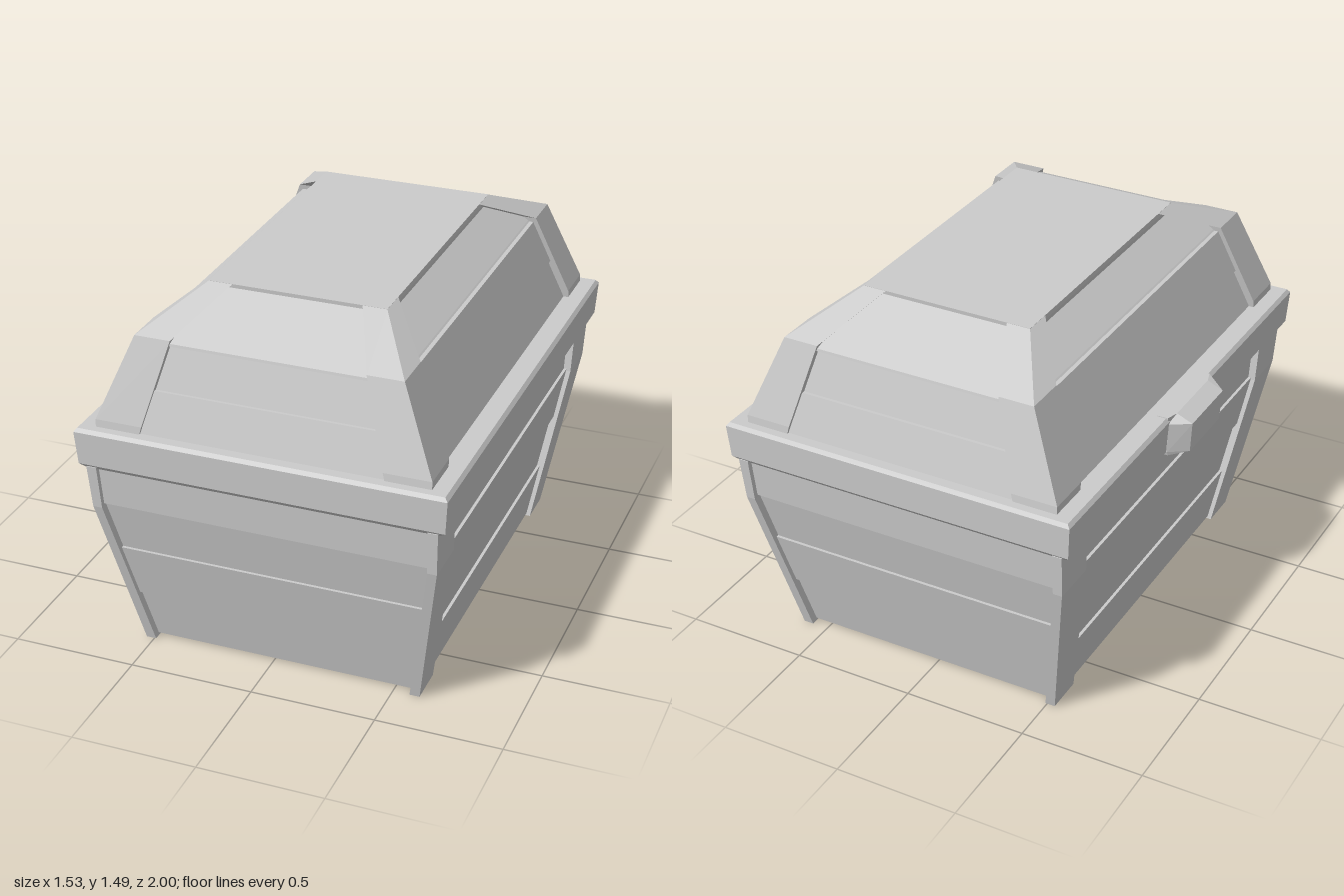
import * as THREE from 'three';

const material = new THREE.MeshStandardMaterial({ color: 0xcccccc, flatShading: true });

// Capped solid through rings of [x, z] points; each ring is { y, pts },
// points running counter-clockwise seen from above, rings from bottom to top.
function loft(name, rings) {
  const pos = [];
  const n = rings[0].pts.length;
  const at = (r, i) => [r.pts[i % n][0], r.y, r.pts[i % n][1]];
  const tri = (a, b, c) => pos.push(...a, ...b, ...c);
  for (let k = 0; k < rings.length - 1; k++) {
    const lo = rings[k], hi = rings[k + 1];
    for (let i = 0; i < n; i++) {
      tri(at(lo, i), at(lo, i + 1), at(hi, i + 1));
      tri(at(lo, i), at(hi, i + 1), at(hi, i));
    }
  }
  const bottom = rings[0], top = rings[rings.length - 1];
  for (let i = 1; i < n - 1; i++) {
    tri(at(bottom, 0), at(bottom, i + 1), at(bottom, i));
    tri(at(top, 0), at(top, i), at(top, i + 1));
  }
  const geo = new THREE.BufferGeometry();
  geo.setAttribute('position', new THREE.Float32BufferAttribute(pos, 3));
  geo.computeVertexNormals();
  const mesh = new THREE.Mesh(geo, material);
  mesh.name = name;
  return mesh;
}

// Axis-aligned rectangular ring
const rect = (y, x0, x1, z0, z1) => ({ y, pts: [[x0, z1], [x1, z1], [x1, z0], [x0, z0]] });

// Centred tapering block from rows of [y, halfX, halfZ]
const block = (name, rows) => loft(name, rows.map(([y, x, z]) => rect(y, -x, x, -z, z)));

// Four mirrored corner pieces from rows of [y, innerX, outerX, innerZ, outerZ]
function corners(name, rows) {
  const group = new THREE.Group();
  group.name = name + 's';
  for (const sx of [-1, 1]) for (const sz of [-1, 1]) {
    group.add(loft(name, rows.map(([y, xi, xo, zi, zo]) => rect(
      y, Math.min(sx * xi, sx * xo), Math.max(sx * xi, sx * xo),
      Math.min(sz * zi, sz * zo), Math.max(sz * zi, sz * zo)))));
  }
  return group;
}

// Half sizes at height y along an outer profile of [y, halfX, halfZ]
function sample(profile, y) {
  let k = 0;
  while (k < profile.length - 2 && y > profile[k + 1][0]) k++;
  const [a, b] = [profile[k], profile[k + 1]];
  const t = (y - a[0]) / (b[0] - a[0]);
  return [1, 2].map((i) => a[i] + (b[i] - a[i]) * t);
}

// Plank courses set back from a profile; rows of [y0, y1, insetX, insetZ]
function planks(name, profile, rows) {
  const group = new THREE.Group();
  group.name = name + 's';
  for (const [y0, y1, ix, iz] of rows) {
    group.add(block(name, [y0, y1].map((y) => {
      const [x, z] = sample(profile, y);
      return [y, x - ix, z - iz];
    })));
  }
  return group;
}

export function createModel() {
  const model = new THREE.Group();
  model.name = 'chest';
  const chest = new THREE.Group();
  chest.name = 'chestBody';
  chest.position.x = 0.037; // the latch shifts the box off centre
  model.add(chest);

  // Lower box: courses stand proud alternately on the short and long sides
  const boxProfile = [[0, 0.57, 0.80], [0.66, 0.682, 0.965], [0.84, 0.69, 0.985]];
  chest.add(planks('boxPlank', boxProfile, [
    [0.01, 0.23, 0.018, 0.032],
    [0.23, 0.455, 0.03, 0.02],
    [0.455, 0.67, 0.018, 0.032],
    [0.67, 0.84, 0.03, 0.02],
  ]));
  chest.add(corners('boxPost', [
    [0, 0.53, 0.57, 0.645, 0.80],
    [0.66, 0.645, 0.682, 0.775, 0.965],
    [0.84, 0.65, 0.69, 0.785, 0.985],
  ]));

  // Bevelled rim
  chest.add(block('rim', [
    [0.83, 0.695, 0.972], [0.85, 0.718, 0.99],
    [0.985, 0.727, 1.0], [1.0, 0.715, 0.99],
  ]));

  // Lid: two steep courses, a shallow one and the flat top
  const lidProfile = [[0.99, 0.67, 0.965], [1.36, 0.52, 0.875]];
  chest.add(planks('lidPlank', lidProfile, [
    [0.99, 1.165, 0.032, 0.014],
    [1.165, 1.34, 0.02, 0.026],
  ]));
  chest.add(block('lidSlope', [[1.335, 0.497, 0.87], [1.345, 0.486, 0.868], [1.47, 0.316, 0.588]]));
  chest.add(block('lidTop', [[1.442, 0.345, 0.56], [1.465, 0.35, 0.588], [1.485, 0.35, 0.59]]));
  chest.add(corners('lidCorner', [
    [0.99, 0.48, 0.655, 0.78, 0.958],
    [1.03, 0.47, 0.655, 0.773, 0.955],
    [1.36, 0.378, 0.52, 0.71, 0.875],
    [1.484, 0.255, 0.35, 0.475, 0.59],
  ]));

  // Latch on the right side of the rim
  const latchRing = (y, x, half) => ({
    y, pts: [[x, half], [-0.722, half + 0.05], [-0.68, half + 0.05],
      [-0.68, -half - 0.05], [-0.722, -half - 0.05], [x, -half]],
  });
  chest.add(loft('latch', [
    latchRing(0.833, -0.75, 0.13), latchRing(0.85, -0.794, 0.135),
    latchRing(0.975, -0.802, 0.14), latchRing(1.003, -0.737, 0.14),
  ]));

  return model;
}
